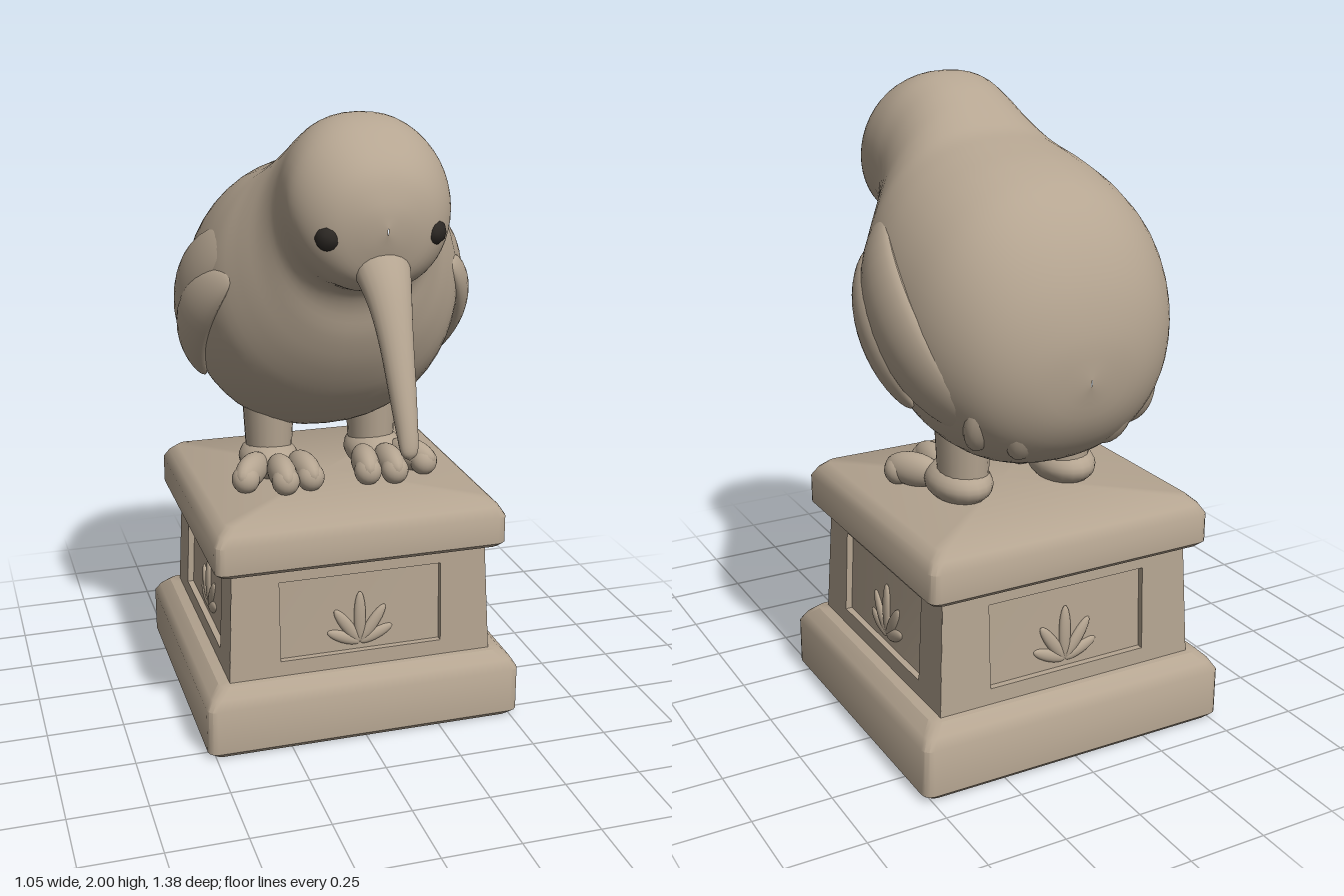
import * as THREE from 'three';
import { toCreasedNormals } from 'three/addons/utils/BufferGeometryUtils.js';

const stone = new THREE.MeshStandardMaterial({ color: 0xb5a591 });
stone.name = 'stone';
const dark = new THREE.MeshStandardMaterial({ color: 0x2c2824 });
dark.name = 'dark eye';
const V = (x, y, z) => new THREE.Vector3(x, y, z);
const MID_Z = -0.178; // centre of the pedestal

function add(parent, name, geometry, material = stone) {
  const mesh = new THREE.Mesh(geometry, material);
  mesh.name = name;
  parent.add(mesh);
  return mesh;
}

// Skin a list of closed rings with equal point counts
function skin(rings) {
  const n = rings[0].length, index = [];
  for (let i = 0; i < rings.length - 1; i++) {
    for (let j = 0; j < n; j++) {
      const a = i * n + j, b = i * n + (j + 1) % n;
      index.push(a, b, b + n, a, b + n, a + n);
    }
  }
  const g = new THREE.BufferGeometry().setFromPoints(rings.flat());
  g.setIndex(index);
  g.computeVertexNormals();
  return g;
}

// Smooth loft: each section is [topZ, topY, bottomZ, bottomY, halfWidth]
function loft(sections, steps, sides, power) {
  const top = new THREE.CatmullRomCurve3(sections.map(s => V(s[4], s[1], s[0])), false, 'catmullrom');
  const low = new THREE.CatmullRomCurve3(sections.map(s => V(0, s[3], s[2])), false, 'catmullrom');
  const rings = [];
  for (let i = 0; i <= steps; i++) {
    const t = top.getPoint(i / steps), b = low.getPoint(i / steps), ring = [];
    for (let j = 0; j < sides; j++) {
      const a = j / sides * Math.PI * 2, c = Math.cos(a), k = (1 + Math.sin(a)) / 2;
      ring.push(V(Math.max(t.x, 0.001) * Math.sign(c) * Math.abs(c) ** power,
        b.y + (t.y - b.y) * k, b.z + (t.z - b.z) * k));
    }
    rings.push(ring);
  }
  return skin(rings);
}

// Rounded square block from levels of [y, inset]
function block(hx, hz, levels, r = 0.03) {
  const ring = (y, inset, s = 1) => {
    const pts = [];
    for (let q = 0; q < 4; q++) {
      const sx = q === 0 || q === 3 ? 1 : -1, sz = q < 2 ? -1 : 1;
      for (let k = 0; k < 4; k++) {
        const a = (q + k / 3) * Math.PI / 2;
        pts.push(V(s * (sx * (hx - inset - r) + r * Math.cos(a)), y,
          MID_Z + s * (sz * (hz - inset - r) - r * Math.sin(a))));
      }
    }
    return pts;
  };
  const first = levels[0], last = levels[levels.length - 1];
  return toCreasedNormals(skin([ring(...first, 0.001), ...levels.map(l => ring(...l)), ring(...last, 0.001)]), 0.75);
}

function ellipsoid(parent, name, pos, size, rot = [0, 0, 0]) {
  const mesh = add(parent, name, new THREE.SphereGeometry(1, 20, 14));
  mesh.position.set(...pos);
  mesh.scale.set(...size);
  mesh.rotation.set(...rot);
  return mesh;
}

// Feather that hugs the side of the body, from (z0,y0) to its tip (z1,y1)
function feather(parent, side, z0, y0, z1, y1, half, thick) {
  const g = new THREE.SphereGeometry(1, 24, 20), p = g.attributes.position;
  const len = Math.hypot(z1 - z0, y1 - y0), dz = (z1 - z0) / len, dy = (y1 - y0) / len;
  for (let i = 0; i < p.count; i++) {
    const v = p.getY(i), u = p.getX(i) * side * half;
    const bow = (1 - v * v) * -0.03;
    const z = (z0 + z1) / 2 + v * len / 2 * dz - (u + bow * side * side) * dy;
    const y = (y0 + y1) / 2 + v * len / 2 * dy + (u + bow) * dz;
    const room = 1 - ((z + 0.24) / 0.47) ** 2 - ((y - 1.35) / 0.47) ** 2;
    p.setXYZ(i, side * (0.445 * Math.max(room, 0.05) ** 0.4 + p.getZ(i) * thick), y, z);
  }
  g.computeVertexNormals();
  add(parent, 'wingFeather', g);
}

// Column wall with a recessed panel and a sprouting leaf relief
function wall(parent, half, dist, turn) {
  const side = new THREE.Group();
  side.name = 'columnSide';
  side.position.z = MID_Z;
  side.rotation.y = turn;
  parent.add(side);
  const shape = new THREE.Shape([[-half, 0.21], [half, 0.21], [half - 0.02, 0.62], [-half + 0.02, 0.62]]
    .map(p => new THREE.Vector2(...p)));
  shape.holes.push(new THREE.Path([[-0.27, 0.28], [-0.27, 0.55], [0.27, 0.55], [0.27, 0.28]]
    .map(p => new THREE.Vector2(...p))));
  const g = new THREE.ExtrudeGeometry(shape, { depth: 0.04, bevelEnabled: false });
  const p = g.attributes.position;
  for (let i = 0; i < p.count; i++) p.setZ(i, p.getZ(i) + dist - 0.04 - (p.getY(i) - 0.21) * 0.045);
  g.computeVertexNormals();
  add(side, 'panelFrame', g);
  for (const [a, l] of [[-1.15, 0.06], [-0.6, 0.075], [0, 0.09], [0.6, 0.075], [1.15, 0.06]]) {
    ellipsoid(side, 'reliefLeaf', [-Math.sin(a) * l, 0.3 + Math.cos(a) * l, dist - 0.028],
      [0.02, l, 0.013], [0, 0, a]);
  }
}

export function createModel() {
  const model = new THREE.Group();
  model.name = 'birdStatue';

  // Pedestal
  const pedestal = new THREE.Group();
  pedestal.name = 'pedestal';
  model.add(pedestal);
  add(pedestal, 'base', block(0.525, 0.49, [[0, 0.02], [0.02, 0], [0.17, 0], [0.2, 0.018], [0.23, 0.05]]));
  add(pedestal, 'columnCore', block(0.42, 0.4, [[0.2, 0], [0.62, 0.02]], 0.01));
  add(pedestal, 'cap', block(0.48, 0.453, [[0.6, 0.015], [0.615, 0], [0.705, 0], [0.735, 0.018], [0.76, 0.045]]));
  for (let i = 0; i < 4; i++) {
    if (i % 2) wall(pedestal, 0.42, 0.44, i * Math.PI / 2);
    else wall(pedestal, 0.44, 0.42, i * Math.PI / 2);
  }

  // Body and head in one skin, from tail to face
  add(model, 'bodyAndHead', loft([
    [-0.688, 1.23, -0.687, 1.21, 0], [-0.685, 1.36, -0.65, 1.08, 0.17],
    [-0.65, 1.5, -0.58, 0.98, 0.29], [-0.58, 1.63, -0.48, 0.92, 0.37],
    [-0.48, 1.73, -0.36, 0.895, 0.42], [-0.35, 1.79, -0.22, 0.91, 0.44],
    [-0.22, 1.825, -0.08, 0.97, 0.435], [-0.12, 1.85, 0.06, 1.07, 0.4],
    [-0.06, 1.885, 0.155, 1.2, 0.34], [0, 1.93, 0.21, 1.32, 0.285],
    [0.08, 1.975, 0.235, 1.42, 0.255], [0.18, 2, 0.27, 1.48, 0.25],
    [0.28, 1.98, 0.33, 1.5, 0.245], [0.37, 1.925, 0.38, 1.51, 0.215],
    [0.43, 1.86, 0.425, 1.55, 0.16], [0.46, 1.78, 0.45, 1.62, 0.085],
    [0.468, 1.71, 0.467, 1.69, 0]], 64, 48, 0.88));

  // Curved beak
  add(model, 'beak', loft([
    [0.4, 1.68, 0.34, 1.52, 0.085], [0.45, 1.635, 0.42, 1.5, 0.08], [0.51, 1.56, 0.48, 1.44, 0.064],
    [0.565, 1.46, 0.53, 1.355, 0.051], [0.62, 1.335, 0.585, 1.24, 0.041],
    [0.668, 1.21, 0.63, 1.145, 0.032], [0.69, 1.125, 0.66, 1.1, 0.024],
    [0.68, 1.092, 0.672, 1.09, 0]], 36, 20, 1));

  // Tail feather tips
  for (const [x, y, z] of [[0, 1.09, -0.59], [0.14, 1.08, -0.565], [-0.14, 1.08, -0.565],
    [0.25, 1.11, -0.51], [-0.25, 1.11, -0.51]]) {
    ellipsoid(model, 'tailFeather', [x, y, z], [0.075, 0.115, 0.045], [-0.3, -x * -1.8, 0]);
  }

  for (const side of [-1, 1]) {
    // Eye
    const eye = add(model, 'eye', new THREE.IcosahedronGeometry(0.042, 1), dark);
    eye.position.set(side * 0.155, 1.68, 0.4);

    // Wing
    feather(model, side, -0.02, 1.62, -0.53, 1.06, 0.12, 0.035);
    feather(model, side, 0.02, 1.5, -0.32, 1.1, 0.09, 0.045);

    // Leg, foot and toes
    const leg = add(model, 'leg', new THREE.CylinderGeometry(0.085, 0.075, 0.2, 20));
    leg.position.set(side * 0.18, 0.89, -0.25);
    leg.scale.z = 1.15;
    ellipsoid(model, 'foot', [side * 0.185, 0.805, -0.23], [0.1, 0.068, 0.135]);
    for (const [x, z, turn] of [[0.105, -0.07, -0.12], [0.185, -0.055, 0.02], [0.275, -0.1, 0.6]]) {
      ellipsoid(model, 'toe', [side * x, 0.812, z], [0.045, 0.055, 0.1], [0, side * turn, 0]);
      ellipsoid(model, 'toeTip', [side * (x + Math.sin(turn) * 0.055), 0.8, z + Math.cos(turn) * 0.055],
        [0.046, 0.047, 0.045]);
    }
  }
  return model;
}
